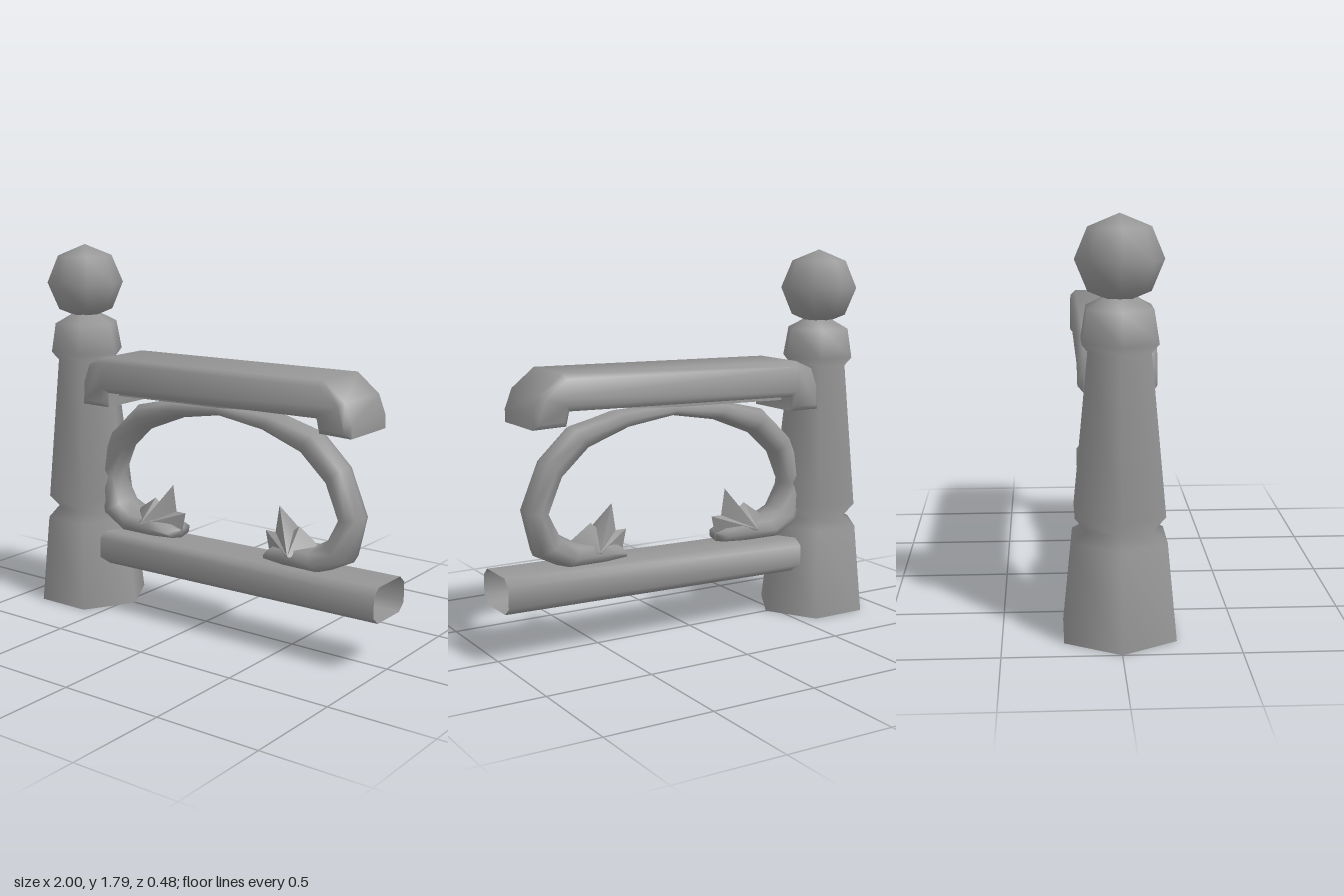
import * as THREE from 'three';
import { toCreasedNormals } from 'three/addons/utils/BufferGeometryUtils.js';

const material = new THREE.MeshStandardMaterial({ color: 0x969696, side: THREE.DoubleSide });
const MID = 0.11; // the scroll is mirrored about this x

function add(parent, name, geometry) {
  const mesh = new THREE.Mesh(geometry, material);
  mesh.name = name;
  parent.add(mesh);
  return mesh;
}

// Bevelled slab centred on z = 0
function slab(points, width, bevel) {
  const shape = new THREE.Shape(points.map(([x, y]) => new THREE.Vector2(x, y)));
  const geometry = new THREE.ExtrudeGeometry(shape, {
    depth: width - 2 * bevel, bevelThickness: bevel, bevelSize: bevel,
    bevelOffset: -bevel, bevelSegments: 1, bevelEnabled: bevel > 0,
  });
  geometry.translate(0, 0, bevel - width / 2);
  return toCreasedNormals(geometry, 1.2);
}

function fromArrays(position, index) {
  const geometry = new THREE.BufferGeometry();
  geometry.setAttribute('position', new THREE.Float32BufferAttribute(position, 3));
  geometry.setIndex(index);
  geometry.computeVertexNormals();
  return geometry;
}

// Smooth open skin over rings of [x, y, z] points
function skin(rings) {
  const sides = rings[0].length, index = [];
  for (let i = 0; i < rings.length - 1; i++) {
    for (let j = 0; j < sides; j++) {
      const p = i * sides + j, q = i * sides + (j + 1) % sides;
      index.push(p, p + sides, q, q, p + sides, q + sides);
    }
  }
  return fromArrays(rings.flat(2), index);
}

// Oval ring from inner x, y, outer x, y and half width
function oval([ix, iy, ox, oy, w]) {
  return Array.from({ length: 8 }, (_, j) => {
    const a = (j / 8) * Math.PI * 2, c = Math.cos(a) / 2;
    return [(ix + ox) / 2 + (ox - ix) * c, (iy + oy) / 2 + (oy - iy) * c, Math.sin(a) * w];
  });
}

// Jagged outline on z = 0 swelling to a ridge point on either side
function leafGeometry(outline, [cx, cy, cz]) {
  const n = outline.length, index = [];
  const position = outline.flatMap(([x, y]) => [x, y, 0]).concat(cx, cy, cz, cx, cy, -cz);
  for (let i = 0; i < n; i++) {
    const k = (i + 1) % n;
    index.push(i, k, n, k, i, n + 1);
  }
  return toCreasedNormals(fromArrays(position, index), 0.6);
}

export function createModel() {
  const model = new THREE.Group();
  model.name = 'railingWithPost';

  // Six-sided hollow post, leaning very slightly
  const profile = [[0.275, 0], [0.228, 0.43], [0.16, 0.472], [0.22, 0.54], [0.148, 1.23],
    [0.183, 1.27], [0.158, 1.41], [0.06, 1.46]].map(([r, y]) => new THREE.Vector2(r, y));
  const postGeometry = new THREE.LatheGeometry(profile, 6, Math.PI / 2);
  const p = postGeometry.attributes.position;
  for (let i = 0; i < p.count; i++) p.setX(i, p.getX(i) - 0.725 - 0.015 * p.getY(i));
  add(model, 'post', postGeometry);
  add(model, 'postBall', new THREE.SphereGeometry(0.186, 8, 4)).position.set(-0.747, 1.607, 0);

  // Handrail with turned-down ends
  add(model, 'handrail', slab([[-0.64, 1.03], [-0.48, 1.03], [-0.48, 1.1], [0.7, 1.12], [0.715, 1.055],
    [0.875, 1.05], [0.875, 1.11], [0.84, 1.2], [0.73, 1.288], [-0.51, 1.27], [-0.6, 1.23],
    [-0.635, 1.14]], 0.34, 0.025));
  add(model, 'handrailRib', slab([[-0.48, 1.11], [-0.48, 1.075], [0.11, 1.085], [0.7, 1.12]], 0.14, 0));

  // Hollow chamfered lower rail, rising slightly along x
  const section = [[-0.095, 0], [0.095, 0], [0.135, 0.035], [0.135, 0.13], [0.095, 0.165],
    [-0.095, 0.165], [-0.135, 0.13], [-0.135, 0.035]];
  add(model, 'lowerRail', skin([[-0.56, 0.22], [1, 0.24]].map(
    ([x, base]) => section.map(([z, y]) => [x, base + y, z]))));

  // Scroll arch: one half from leaf to crown, then its mirror
  const half = [[0.37, 0.44, 0.37, 0.435, 0.01], [0.41, 0.47, 0.37, 0.4, 0.09],
    [0.5, 0.5, 0.49, 0.39, 0.112], [0.62, 0.5, 0.68, 0.39, 0.115], [0.69, 0.54, 0.82, 0.46, 0.1],
    [0.745, 0.65, 0.872, 0.665, 0.075], [0.68, 0.8, 0.78, 0.89, 0.072], [0.55, 0.92, 0.63, 1.03, 0.075],
    [0.35, 1.0, 0.4, 1.085, 0.08]];
  const mirrored = half.map(([ix, iy, ox, oy, w]) => [2 * MID - ix, iy, 2 * MID - ox, oy, w]).reverse();
  add(model, 'scrollArch', skin([...half, [MID, 1.04, MID, 1.1, 0.08], ...mirrored].map(oval)));

  // Jagged leaves at both ends of the scroll
  const outline = [[0.5, 0.395], [0.66, 0.42], [0.63, 0.505], [0.53, 0.575], [0.5, 0.55],
    [0.42, 0.655], [0.4, 0.525], [0.345, 0.525], [0.37, 0.41]];
  const flip = ([x, ...rest]) => [2 * MID - x, ...rest];
  const ridge = [0.54, 0.46, 0.115];
  add(model, 'leftLeaf', leafGeometry(outline, ridge));
  add(model, 'rightLeaf', leafGeometry(outline.map(flip).reverse(), flip(ridge)));
  return model;
}
